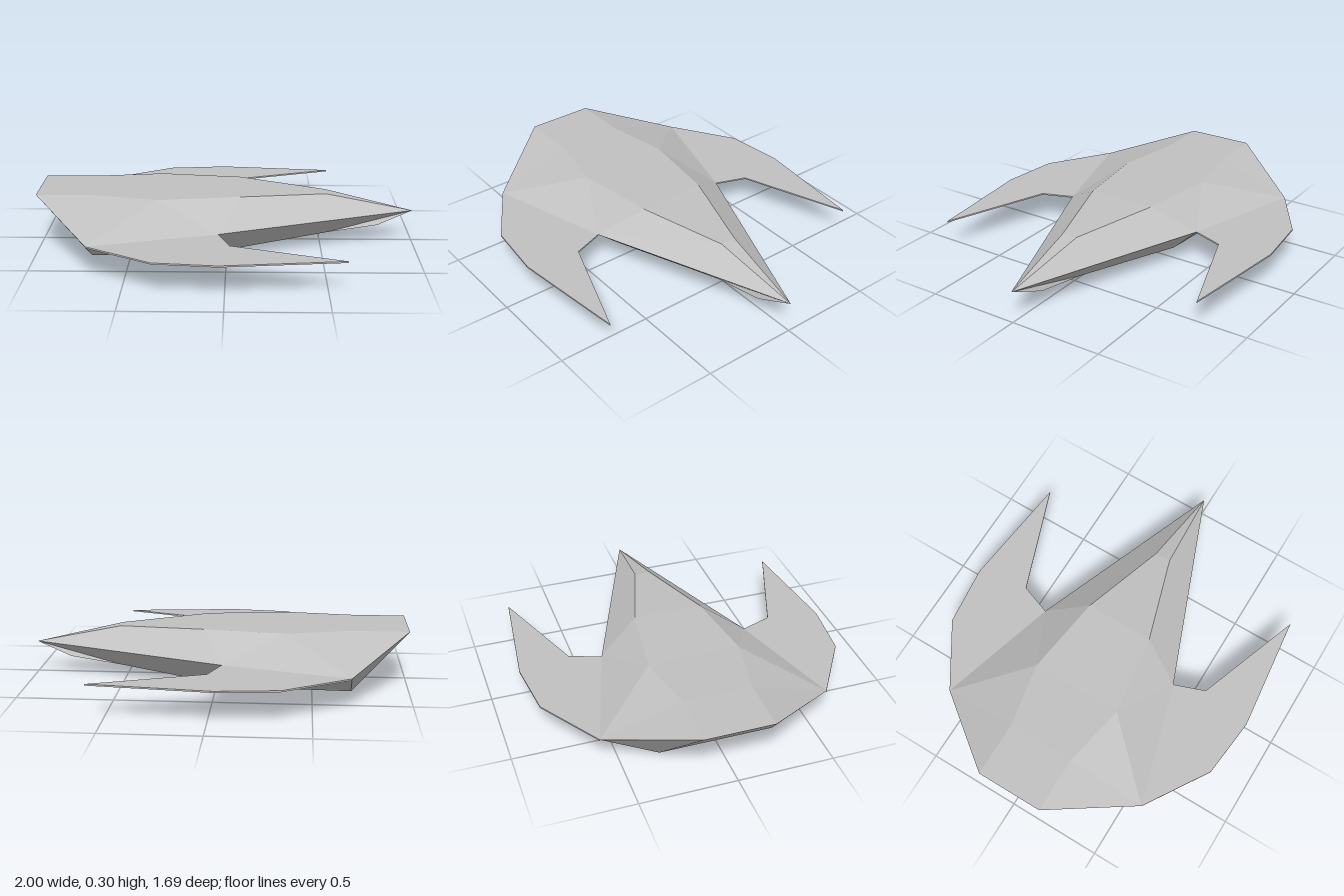
import * as THREE from 'three';

// Corner points of the left half (+z); the nose points along +x
const NOSE = [1, 0.17, 0];
const RIM_BACK = [-0.69, 0.17, 0.595];
const RIM_MID = [-0.04, 0.17, 0.405];
const DECK = [
  [-1, 0.305, 0.18], [-0.7, 0.305, 0.18], [-0.36, 0.3, 0.245],
  [0.07, 0.3, 0.185], [0.53, 0.275, 0.042],
];
const BELLY = [
  [-0.7, 0.015, 0.3], [-0.1, 0.003, 0.23], [0.53, 0.063, 0.06], [0.81, 0.098, 0.035],
];

const flip = ([x, y, z]) => [x, y, -z];

// Flat-shaded mesh from polygons given as corner loops
function facets(name, polygons, material) {
  const positions = [];
  for (const p of polygons) {
    for (let i = 1; i < p.length - 1; i++) positions.push(...p[0], ...p[i], ...p[i + 1]);
  }
  const geometry = new THREE.BufferGeometry();
  geometry.setAttribute('position', new THREE.Float32BufferAttribute(positions, 3));
  geometry.computeVertexNormals();
  const mesh = new THREE.Mesh(geometry, material);
  mesh.name = name;
  return mesh;
}

// Adds the opposite side of each polygon
const mirrored = (polygons) => polygons.concat(polygons.map((p) => p.map(flip).reverse()));

// Strip across the centreline, ending at the nose
function strip(edge) {
  return edge.map((a, i) => {
    const b = edge[i + 1];
    return b ? [a, b, flip(b), flip(a)] : [a, NOSE, flip(a)];
  });
}

// Swept wing plate, side is +1 or -1
function wing(name, side, material) {
  const outline = [
    [-0.69, 0.595], [-0.35, 0.81], [-0.03, 0.845], [0.59, 0.775], [0.02, 0.57], [-0.04, 0.405],
  ];
  const shape = new THREE.Shape(outline.map(([x, z]) => new THREE.Vector2(x, z * side)));
  const geometry = new THREE.ExtrudeGeometry(shape, { depth: 0.008, bevelEnabled: false });
  geometry.rotateX(Math.PI / 2).translate(0, 0.17, 0);
  const mesh = new THREE.Mesh(geometry, material);
  mesh.name = name;
  return mesh;
}

export function createModel() {
  const hullGrey = new THREE.MeshStandardMaterial({ color: 0xc0c0c0 });
  hullGrey.name = 'hullGrey';

  const [t0, t1, t2, t3, t4] = DECK;
  const [u0, u1, u2, u3] = BELLY;
  const model = new THREE.Group();
  model.name = 'starship';

  model.add(
    facets('deck', strip(DECK), hullGrey),
    facets('belly', strip(BELLY).map((p) => p.reverse()), hullGrey),
    // Sloping sides above the rim
    facets('upperSides', mirrored([
      [t0, RIM_BACK, t1], [t1, RIM_BACK, t2], [t2, RIM_BACK, RIM_MID],
      [t2, RIM_MID, t3], [t4, t3, RIM_MID], [t4, RIM_MID, NOSE],
    ]), hullGrey),
    // Sloping sides below the rim
    facets('lowerSides', mirrored([
      [RIM_BACK, u0, u1, RIM_MID], [RIM_MID, u1, u2], [RIM_MID, u2, NOSE], [u2, u3, NOSE],
    ]), hullGrey),
    // Undercut tail
    facets('tail', [
      [t0, flip(t0), flip(u0), u0],
      ...mirrored([[t0, u0, RIM_BACK]]),
    ], hullGrey),
    wing('leftWing', 1, hullGrey),
    wing('rightWing', -1, hullGrey),
  );
  return model;
}
